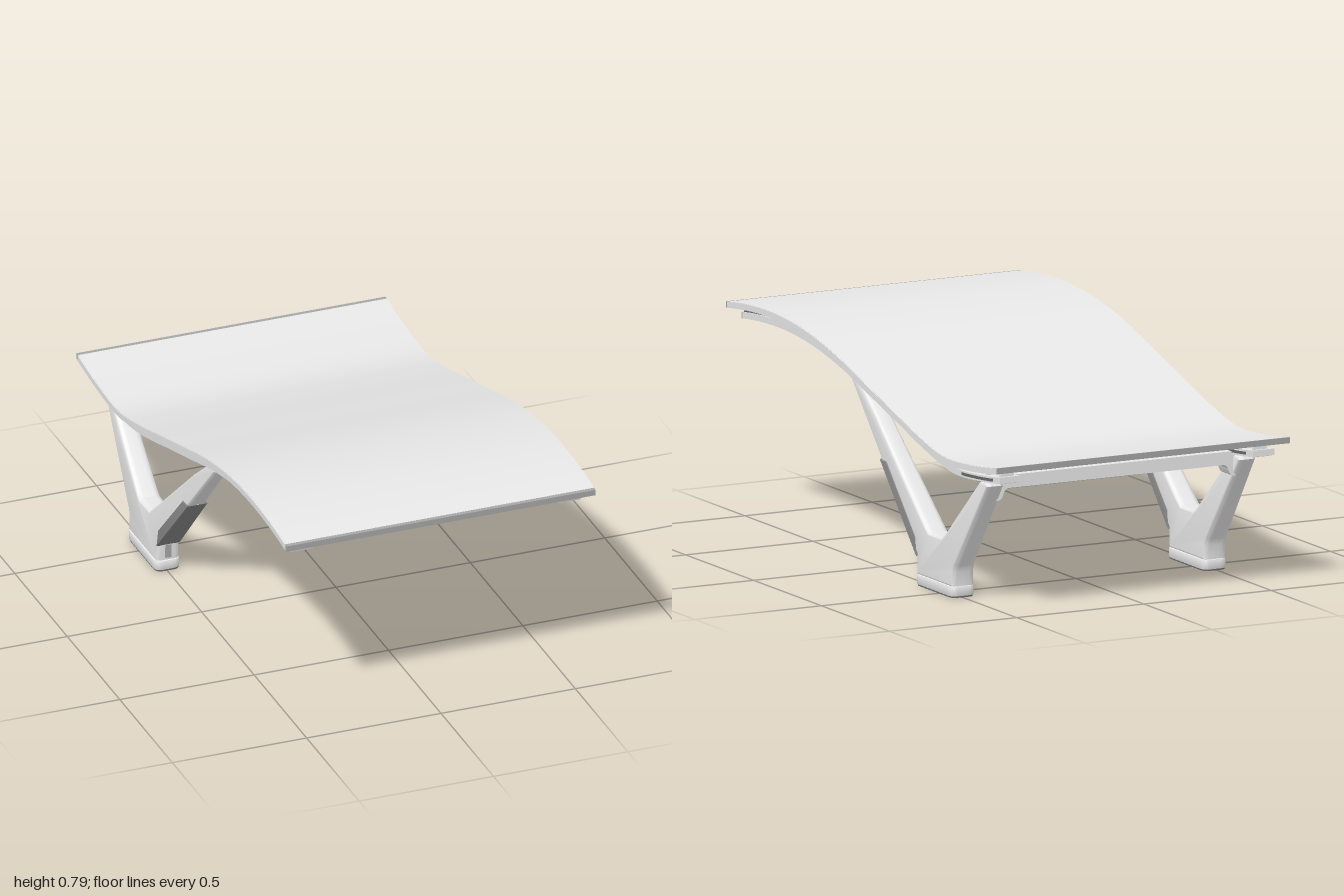
import * as THREE from 'three';
import { toCreasedNormals } from 'three/addons/utils/BufferGeometryUtils.js';

const mat = (name, color) => Object.assign(new THREE.MeshStandardMaterial({ color }), { name });
const ROOF = mat('roof light grey', 0xe8e8e8);
const FRAME = mat('frame off-white', 0xf4f4f4);
const UNDER = mat('underside grey', 0xc0c0c0);
const TRIM = mat('edge trim grey', 0xa4a4a4);
const COVER = mat('arm cover grey', 0x848484);
const DARK = mat('dark grey', 0x6a6a6a);

// Height of the roof's top surface along z, at steps of 0.2 from -1.2 to 1.2
const heights = [0.57, 0.535, 0.511, 0.506, 0.549, 0.608, 0.666, 0.724, 0.766, 0.787, 0.786, 0.766, 0.73];
const spline = new THREE.SplineCurve(heights.map((y, i) => new THREE.Vector2(-1.2 + i * 0.2, y)));
const roofY = (z) => spline.getPoint((z + 1.2) / 2.4).y;

function add(parent, name, geometry, material) {
  const mesh = new THREE.Mesh(toCreasedNormals(geometry, 0.6), material);
  mesh.name = name;
  parent.add(mesh);
}

// Side profile in (z, y) extruded along x and centred on x = 0
function sideExtrude(shape, width, thickness = 0, inset = 0) {
  const g = new THREE.ExtrudeGeometry(shape, {
    depth: width - 2 * thickness, bevelEnabled: thickness > 0, bevelThickness: thickness,
    bevelSize: inset, bevelOffset: -inset, bevelSegments: 5,
  });
  return g.translate(0, 0, thickness - width / 2).rotateY(-Math.PI / 2);
}

// Slab that follows the roof curve between two depths below its top surface
function slab(parent, name, material, x0, x1, z0, z1, top, bottom) {
  const n = Math.max(2, Math.ceil((z1 - z0) * 28));
  const points = [];
  for (let i = 0; i <= n; i++) {
    const z = z0 + ((z1 - z0) * i) / n;
    points.push(new THREE.Vector2(z, roofY(z) - bottom));
  }
  for (let i = n; i >= 0; i--) {
    const z = z0 + ((z1 - z0) * i) / n;
    points.push(new THREE.Vector2(z, roofY(z) - top));
  }
  const g = sideExtrude(new THREE.Shape(points), x1 - x0).translate((x0 + x1) / 2, 0, 0);
  add(parent, name, g, material);
}

// Legs get narrower towards the top
function halfWidth(y) {
  const steps = [[0, 0.047], [0.1, 0.042], [0.39, 0.036], [0.66, 0.028]];
  for (let i = 1; i < steps.length; i++) {
    const [y0, w0] = steps[i - 1], [y1, w1] = steps[i];
    if (y <= y1 || i === steps.length - 1) return THREE.MathUtils.mapLinear(y, y0, y1, w0, w1);
  }
}

function taper(geometry) {
  const p = geometry.attributes.position;
  for (let i = 0; i < p.count; i++) p.setX(i, p.getX(i) * halfWidth(p.getY(i)) / 0.047);
  return geometry;
}

const polygon = (pts) => new THREE.Shape(pts.map(([a, b]) => new THREE.Vector2(a, b)));

function makeLeg() {
  const leg = new THREE.Group();
  // V-shaped body: foot, long front arm and short rear arm
  const body = polygon([
    [-0.335, 0.035], [-0.33, 0.107], [0.18, 0.638], [0.172, 0.652], [0.11, 0.636], [-0.02, 0.536],
    [-0.39, 0.22], [-0.415, 0.2], [-0.507, 0.2], [-0.53, 0.216],
    [-0.764, 0.434], [-0.78, 0.448], [-0.83, 0.448], [-0.838, 0.435], [-0.61, 0.115], [-0.6, 0.09], [-0.598, 0.035],
  ]);
  add(leg, 'legBody', taper(sideExtrude(body, 0.094, 0.026, 0.012)), FRAME);

  // Rounded foot plate on a dark sole
  const r = 0.03, w = 0.048, a = -0.602, b = -0.328;
  const foot = new THREE.Shape();
  foot.moveTo(-w + r, -b);
  foot.lineTo(w - r, -b);
  foot.quadraticCurveTo(w, -b, w, -b + r);
  foot.lineTo(w, -a - r);
  foot.quadraticCurveTo(w, -a, w - r, -a);
  foot.lineTo(-w + r, -a);
  foot.quadraticCurveTo(-w, -a, -w, -a - r);
  foot.lineTo(-w, -b + r);
  foot.quadraticCurveTo(-w, -b, -w + r, -b);
  const footGeo = new THREE.ExtrudeGeometry(foot, {
    depth: 0.028, bevelThickness: 0.004, bevelSize: 0.004, bevelOffset: -0.004, bevelSegments: 2,
  });
  add(leg, 'foot', footGeo.rotateX(-Math.PI / 2).translate(0, 0.008, 0), FRAME);
  const soleGeo = new THREE.ExtrudeGeometry(foot, { depth: 0.005, bevelEnabled: false });
  add(leg, 'sole', soleGeo.scale(0.94, 1, 1).rotateX(-Math.PI / 2), DARK);

  // Grey cover on the lower face of the front arm, with a narrow slit
  const cover = polygon([[-0.332, 0.1], [-0.05, 0.394], [-0.1, 0.394], [-0.322, 0.168]]);
  add(leg, 'armCover', taper(sideExtrude(cover, 0.098, 0.01, 0.003)), COVER);
  const slit = polygon([[-0.23, 0.208], [-0.05, 0.396], [-0.06, 0.396], [-0.24, 0.208]]);
  add(leg, 'armSlit', sideExtrude(slit, 0.007), FRAME);
  add(leg, 'footSlot', new THREE.BoxGeometry(0.022, 0.05, 0.006).translate(0, 0.075, -0.332), TRIM);
  return leg;
}

export function createModel() {
  const model = new THREE.Group();
  model.name = 'carport';

  // Wavy roof with edge trims, a grey underside and a dark front band
  const roof = new THREE.Group();
  roof.name = 'roof';
  model.add(roof);
  slab(roof, 'roofPanel', ROOF, -0.573, 0.573, -0.988, 0.988, 0, 0.018);
  slab(roof, 'roofUnderside', UNDER, -0.56, 0.56, -0.985, 0.985, 0.017, 0.021);
  slab(roof, 'frontTrim', TRIM, -0.575, 0.575, 0.986, 1, 0, 0.021);
  slab(roof, 'rearTrim', TRIM, -0.575, 0.575, -1, -0.986, 0, 0.021);
  slab(roof, 'frontCrossBand', DARK, -0.385, 0.385, 0.84, 0.945, 0.034, 0.058);

  for (const s of [-1, 1]) {
    const span = (c, w) => [s * c - w / 2, s * c + w / 2];
    slab(roof, 'sideTrim', ROOF, ...span(0.571, 0.01), -0.99, 0.99, 0.001, 0.022);
    slab(roof, 'darkStrip', DARK, ...span(0.362, 0.065), -0.975, 0.94, 0.02, 0.0235);

    // Curved carrier beam with a grey lower cover and an inward front end
    slab(roof, 'carrierBeam', FRAME, ...span(0.497, 0.085), -0.95, 0.945, 0.038, 0.061);
    slab(roof, 'beamCover', UNDER, ...span(0.497, 0.069), -0.945, 0.942, 0.06, 0.0625);
    slab(roof, 'beamCap', UNDER, ...span(0.497, 0.085), 0.945, 0.95, 0.038, 0.061);
    slab(roof, 'frontBeamEnd', UNDER, ...span(0.42, 0.075), 0.86, 0.945, 0.038, 0.058);

    // Dark inserts along the beam
    slab(roof, 'frontInsert', DARK, ...span(0.497, 0.075), 0.28, 0.94, 0.033, 0.04);
    slab(roof, 'rearInsert', DARK, ...span(0.497, 0.088), -0.9, -0.67, 0.044, 0.054);

    // Spacers between the beam and the roof
    for (const z of [0.9, 0.74, 0.53, 0.3, 0.1, -0.1, -0.31, -0.51, -0.7, -0.82, -0.92]) {
      slab(roof, 'spacer', FRAME, ...span(0.497, 0.05), z - 0.008, z + 0.008, 0.02, 0.04);
    }

    const leg = makeLeg();
    leg.name = s > 0 ? 'leftLeg' : 'rightLeg';
    leg.position.x = s * 0.495;
    model.add(leg);

    // Short post between the cross beam and the roof
    const post = new THREE.CylinderGeometry(0.01, 0.01, 0.045, 12).translate(s * 0.365, 0.475, -0.755);
    add(model, 'crossBeamPost', post, FRAME);
  }

  // Rear cross beam with curved brackets at both ends
  const beam = new THREE.Shape();
  beam.moveTo(-0.47, 0.46);
  beam.lineTo(-0.47, 0.372);
  beam.lineTo(-0.455, 0.375);
  beam.bezierCurveTo(-0.438, 0.385, -0.445, 0.414, -0.42, 0.414);
  beam.lineTo(0.42, 0.414);
  beam.bezierCurveTo(0.445, 0.414, 0.438, 0.385, 0.455, 0.375);
  beam.lineTo(0.47, 0.372);
  beam.lineTo(0.47, 0.46);
  const beamGeo = new THREE.ExtrudeGeometry(beam, { depth: 0.075, bevelEnabled: false });
  add(model, 'crossBeam', beamGeo.translate(0, 0, -0.795), FRAME);

  return model;
}
